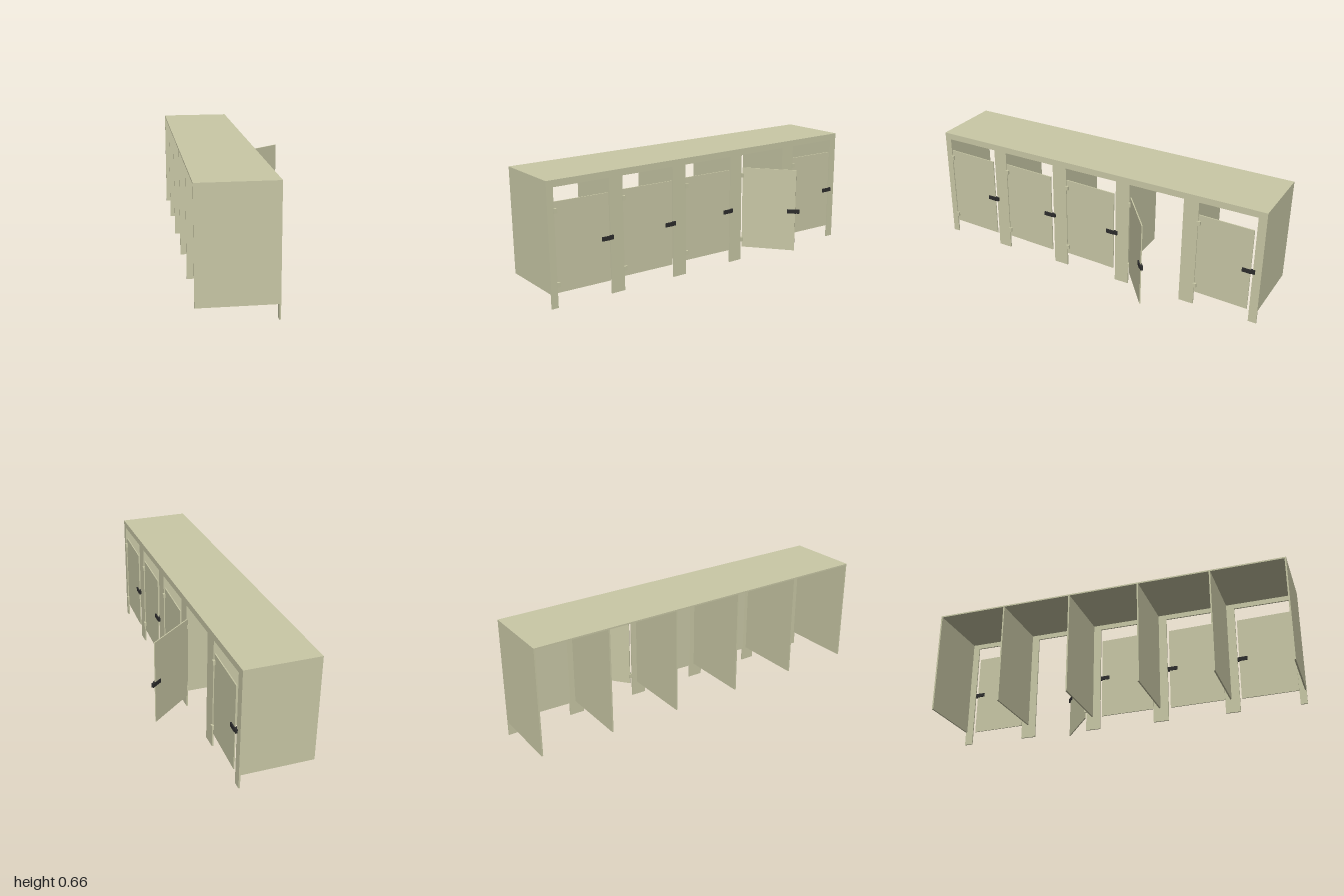
import * as THREE from 'three';

export function createModel() {
  const root = new THREE.Group();
  root.name = 'stallRow';
  const panel = new THREE.MeshStandardMaterial({ color: 0xc9c8a6 });
  panel.name = 'beige panel';
  const black = new THREE.MeshStandardMaterial({ color: 0x2c2c2c });
  black.name = 'black latch';

  // box given by its min and max corners
  function box(parent, name, mat, [x0, y0, z0], [x1, y1, z1]) {
    const mesh = new THREE.Mesh(new THREE.BoxGeometry(x1 - x0, y1 - y0, z1 - z0), mat);
    mesh.position.set((x0 + x1) / 2, (y0 + y1) / 2, (z0 + z1) / 2);
    mesh.name = name;
    parent.add(mesh);
    return mesh;
  }

  const BACK = -0.337, FACE = 0.063, INNER = 0.055, TOP = 0.66, LOW = 0.077;

  // front frame: one comb-shaped plate with legs, openings and a header
  const legs = [[-1, -0.954], [-0.636, -0.551], [-0.235, -0.152], [0.163, 0.249], [0.567, 0.647], [0.963, 1]];
  const header = 0.624;
  const outline = new THREE.Shape();
  outline.moveTo(1, TOP);
  outline.lineTo(-1, TOP);
  legs.forEach(([a, b], i) => {
    if (i > 0) outline.lineTo(a, header);
    outline.lineTo(a, 0);
    outline.lineTo(b, 0);
    if (i < legs.length - 1) outline.lineTo(b, header);
  });
  outline.closePath();
  const frameGeo = new THREE.ExtrudeGeometry(outline, { depth: FACE - INNER, bevelEnabled: false });
  frameGeo.rotateY(-Math.PI / 2); // shape x becomes z, thickness runs toward -x
  frameGeo.translate(FACE, 0, 0);
  const frame = new THREE.Mesh(frameGeo, panel);
  frame.name = 'frontFrame';
  root.add(frame);

  // roof and the six partitions, open at the back
  box(root, 'roof', panel, [BACK, TOP - 0.008, -1], [INNER, TOP, 1]);
  for (let i = 0; i < 6; i++) {
    const z = -0.996 + i * 0.3984;
    box(root, 'partition', panel, [BACK, LOW, z - 0.004], [INNER, TOP - 0.008, z + 0.004]);
  }

  // doors swing about their hinge edge; local -z runs along the door, +x is outward
  function door(x, z, degrees) {
    const g = new THREE.Group();
    g.name = 'door';
    g.position.set(x, 0, z);
    g.rotation.y = -THREE.MathUtils.degToRad(degrees);
    box(g, 'doorPanel', panel, [-0.006, LOW, -0.307], [0, 0.55, 0]);
    box(g, 'latchPlate', black, [-0.01, 0.299, -0.312], [0.007, 0.321, -0.262]);
    box(g, 'latchBolt', black, [-0.01, 0.299, -0.33], [0.004, 0.321, -0.312]);
    root.add(g);
  }

  const hinges = [0.963, 0.567, 0.163, -0.237, -0.636];
  hinges.forEach((z, i) => {
    if (i === 3) door(0.064, z - 0.005, 51.7);
    else door(0.057, z, 2.2);
    for (const y of [0.123, 0.505]) {
      box(root, 'hinge', panel, [0.056, y - 0.012, z - 0.014], [0.07, y + 0.012, z + 0.005]);
    }
  });
  return root;
}
